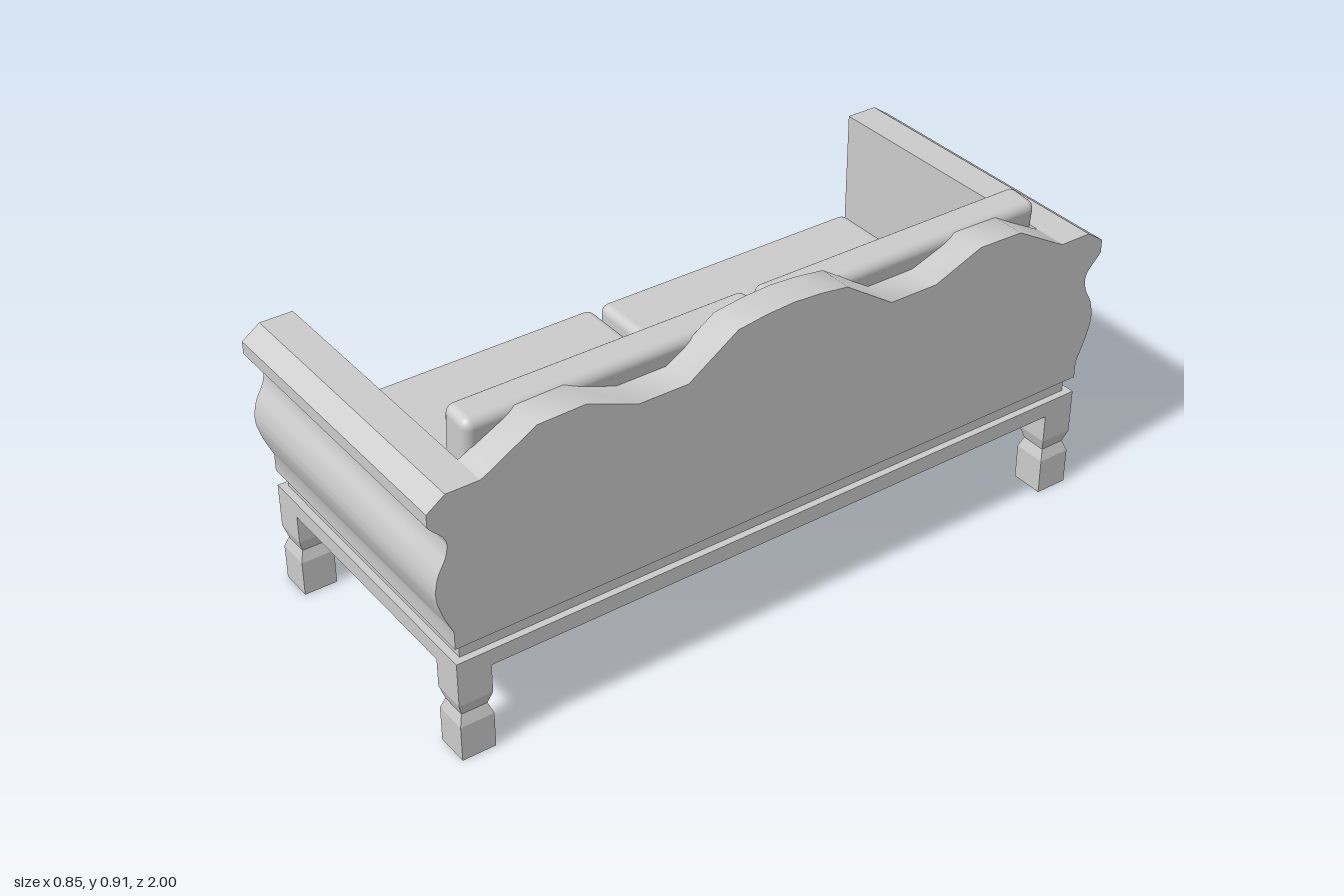
import * as THREE from 'three';
import { toCreasedNormals } from 'three/addons/utils/BufferGeometryUtils.js';
import { RoundedBoxGeometry } from 'three/addons/geometries/RoundedBoxGeometry.js';

const material = new THREE.MeshStandardMaterial({ color: 0xcccccc });
const HALF_X = 0.427; // half depth of the sofa
const ARM_IN = 0.86; // inner face of the arms
const DECK = 0.335; // underside of the upper body

function add(group, name, geometry, x = 0, y = 0, z = 0) {
  const mesh = new THREE.Mesh(geometry, material);
  mesh.name = name;
  mesh.position.set(x, y, z);
  group.add(mesh);
  return mesh;
}

// Extrudes a (z, y) outline along x, from x0 to x1.
function extrudeAlongX(points, x0, x1, crease) {
  const shape = new THREE.Shape(points.map(([z, y]) => new THREE.Vector2(-z, y)));
  const geometry = new THREE.ExtrudeGeometry(shape, { depth: x1 - x0, bevelEnabled: false });
  geometry.rotateY(Math.PI / 2).translate(x0, 0, 0);
  return toCreasedNormals(geometry, crease);
}

// Arm section: flat inside, bulging outside with a scroll at the top.
function armGeometry() {
  const outer = new THREE.SplineCurve([
    [0.95, 0.385], [0.974, 0.44], [0.99, 0.5], [0.982, 0.555], [0.958, 0.605],
    [0.957, 0.65], [1, 0.7], [1, 0.735],
  ].map(([z, y]) => new THREE.Vector2(z, y)));
  const curve = outer.getPoints(42).map((p) => [Math.min(p.x, 1), p.y]);
  const section = [[ARM_IN, DECK], [0.95, DECK], ...curve, [0.95, 0.77], [ARM_IN, 0.77]];
  return extrudeAlongX(section, -HALF_X, HALF_X, 0.5);
}

// Back panel with a symmetric wavy top edge.
function backGeometry() {
  const half = [
    [ARM_IN, DECK], [ARM_IN, 0.77], [0.84, 0.78], [0.71, 0.855], [0.58, 0.858],
    [0.44, 0.802], [0.3, 0.802], [0.16, 0.896], [0.08, 0.907],
  ];
  const mirrored = half.map(([z, y]) => [-z, y]).reverse();
  return extrudeAlongX([...half, [0, 0.912], ...mirrored], 0.333, HALF_X, 0.65);
}

// Square leg with a pinched waist.
function legGeometry() {
  const rings = [[0, 1], [0.1, 1], [0.13, 0.77], [0.165, 1], [0.25, 1]];
  const geometry = new THREE.BoxGeometry(0.092, 4, 0.092, 1, 4, 1);
  const p = geometry.attributes.position;
  for (let i = 0; i < p.count; i++) {
    const [y, s] = rings[Math.round(p.getY(i) + 2)];
    p.setXYZ(i, p.getX(i) * s, y, p.getZ(i) * s);
  }
  const flat = geometry.toNonIndexed();
  flat.computeVertexNormals();
  return flat;
}

export function createModel() {
  const group = new THREE.Group();
  group.name = 'sofa';

  // Stepped base and seat platform
  add(group, 'baseFrame', new THREE.BoxGeometry(HALF_X * 2, 0.045, 1.9), 0, 0.2675);
  add(group, 'recessedBand', new THREE.BoxGeometry(0.815, 0.045, 1.86), 0, 0.3125);
  add(group, 'seatPlatform', new THREE.BoxGeometry(0.76, 0.065, ARM_IN * 2), -0.047, 0.3675);

  // Legs
  const leg = legGeometry();
  for (const x of [-1, 1]) {
    for (const z of [-1, 1]) add(group, 'leg', leg, x * 0.381, 0, z * 0.904);
  }

  // Arms and back
  const arm = armGeometry();
  add(group, 'arm', arm);
  add(group, 'arm', arm).rotation.y = Math.PI;
  add(group, 'backPanel', backGeometry());

  // Two seat cushions and two leaning back cushions
  const seat = new RoundedBoxGeometry(0.745, 0.085, 0.83, 4, 0.025);
  const back = new RoundedBoxGeometry(0.097, 0.395, 0.83, 4, 0.025);
  for (const side of [-1, 1]) {
    add(group, 'seatCushion', seat, -0.042, 0.4375, side * 0.428);
    add(group, 'backCushion', back, 0.276, 0.668, side * 0.428).rotation.z = -0.09;
  }
  return group;
}
